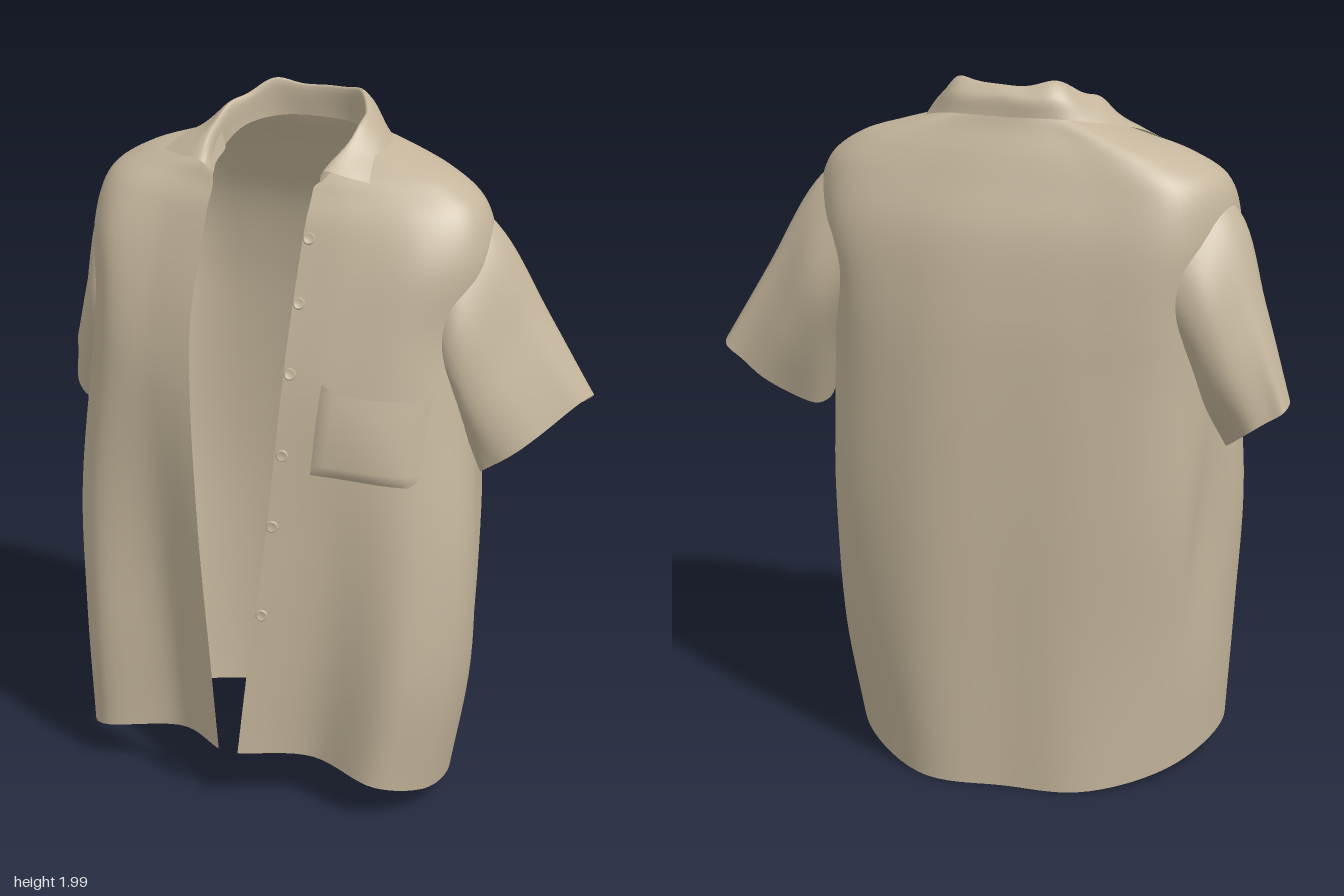
import * as THREE from 'three';

const fabric = new THREE.MeshStandardMaterial({ color: 0xc4b59b, side: THREE.DoubleSide });
fabric.name = 'beige fabric';

const mix = THREE.MathUtils.lerp;
const V = (x, y, z) => new THREE.Vector3(x, y, z);

// Smooth skin through a list of cross-sections (arrays of Vector3)
function loft(name, rings, nu, nv, closed, ripple) {
  const cols = closed ? nu : nu + 1;
  const curves = rings.map(r => new THREE.CatmullRomCurve3(r, closed));
  const pos = [], idx = [];
  for (let i = 0; i < cols; i++) {
    const column = new THREE.CatmullRomCurve3(curves.map(c => c.getPoint(i / nu)));
    for (let j = 0; j <= nv; j++) {
      const p = column.getPoint(j / nv);
      ripple(p, i / nu, j / nv);
      pos.push(p.x, p.y, p.z);
    }
  }
  for (let i = 0; i < nu; i++) {
    for (let j = 0; j < nv; j++) {
      const a = i * (nv + 1) + j, b = ((i + 1) % cols) * (nv + 1) + j;
      idx.push(a, b, a + 1, b, b + 1, a + 1);
    }
  }
  const g = new THREE.BufferGeometry();
  g.setAttribute('position', new THREE.Float32BufferAttribute(pos, 3));
  g.setIndex(idx);
  g.computeVertexNormals();
  const mesh = new THREE.Mesh(g, fabric);
  mesh.name = name;
  return mesh;
}

// Body levels, hem to neckline: yFront, ySide, yBack, xRight, xLeft, xEdgeRight, xEdgeLeft,
// zEdge, zPanel, zCornerRight, zCornerLeft, zSide, zBackCorner, zBack
const LEVELS = [
  [.175, .06, .005, -.595, .495, -.06, .00, .395, .27, .315, .31, .04, -.19, -.385],
  [.45, .42, .40, -.615, .555, -.09, .03, .385, .285, .315, .295, .04, -.22, -.385],
  [.80, .80, .80, -.635, .565, -.135, .07, .36, .29, .285, .255, .03, -.25, -.385],
  [1.2, 1.2, 1.2, -.615, .53, -.18, .095, .315, .282, .245, .21, -.02, -.27, -.375],
  [1.4, 1.4, 1.4, -.61, .52, -.2, .10, .27, .245, .225, .185, -.06, -.28, -.362],
  [1.6, 1.6, 1.6, -.63, .55, -.2, .10, .2, .185, .18, .135, -.09, -.265, -.33],
  [1.7, 1.73, 1.73, -.60, .515, -.2, .10, .16, .14, .12, .09, -.1, -.235, -.28],
  [1.75, 1.80, 1.80, -.50, .43, -.2, .10, .13, .105, .07, .06, -.09, -.21, -.25],
  [1.78, 1.845, 1.86, -.36, .30, -.21, .10, .11, .09, .05, .05, -.08, -.19, -.22],
  [1.79, 1.88, 1.90, -.25, .18, -.215, .11, .1, .075, .04, .04, -.08, -.17, -.205],
];

function bodySection([yF, yS, yB, xR, xL, eR, eL, zE, zP, zCR, zCL, zS, zBC, zB]) {
  const cx = (xR + xL) / 2;
  const half = (w, e, zC) => {
    const at = t => mix(cx, w, t);
    return [
      V(e, yF, zE),
      V(mix(e, at(.8), .45), mix(yF, yS, .25), zP),
      V(at(.8), mix(yF, yS, .5), zC),
      V(at(.98), mix(yF, yS, .85), mix(zS, zC, .55)),
      V(w, yS, zS),
      V(at(.82), mix(yS, yB, .6), zBC),
      V(at(.42), yB, zB * .96),
    ];
  };
  return [...half(xR, eR, zCR), V(cx, yB, zB), ...half(xL, eL, zCL).reverse()];
}

// Soft vertical folds across the back, and a hollow on each flank under the sleeves
function bodyFolds(p, u, v) {
  const back = Math.max(0, 1 - Math.abs(u - .5) / .22);
  p.z -= .012 * Math.sin(p.x * 9.8 + .4) * back * (1 - v);
  const flank = Math.exp(-(((p.z + .1) / .08) ** 2) - ((p.y - .75) / .3) ** 2);
  p.x *= 1 - .065 * flank;
}

// Teardrop sleeve ring from its top point, underarm point and half depth
function sleeveRing([tx, ty, tz, bx, by, bz, d]) {
  const ring = [];
  for (let k = 0; k < 12; k++) {
    const a = k / 12 * Math.PI * 2, c = (1 + Math.cos(a)) / 2;
    const depth = d * Math.sin(a) * (1 - .35 * Math.cos(a));
    ring.push(V(mix(bx, tx, c), mix(by, ty, c), mix(bz, tz, c) + depth));
  }
  return ring;
}
const LEFT_SLEEVE = [
  [.42, 1.775, -.10, .42, 1.30, -.09, .17],
  [.555, 1.66, -.10, .47, 1.22, -.07, .19],
  [.68, 1.43, -.15, .52, 1.10, -.045, .16],
  [.81, 1.20, -.19, .56, .995, -.03, .115],
];
const RIGHT_SLEEVE = [
  [-.49, 1.775, -.09, -.50, 1.30, -.09, .17],
  [-.64, 1.65, -.08, -.54, 1.22, -.07, .195],
  [-.73, 1.41, -.13, -.575, 1.10, -.05, .165],
  [-.815, 1.15, -.17, -.62, .995, -.03, .115],
];
function sleeveFolds(p, u, v) {
  p.z += .007 * Math.sin(u * Math.PI * 10) * v;
  p.y += .006 * Math.sin(u * Math.PI * 6) * v;
}

// Collar: stand at the neckline, fold line, turned-down outer edge
const toRing = pts => pts.map(p => V(...p));
const COLLAR = [
  [[-.215, 1.775, .1], [-.245, 1.81, 0], [-.22, 1.865, -.1], [-.15, 1.885, -.18], [-.035, 1.89, -.2],
    [.09, 1.885, -.18], [.155, 1.865, -.1], [.17, 1.81, 0], [.11, 1.775, .1]],
  [[-.245, 1.81, .112], [-.255, 1.9, 0], [-.225, 1.95, -.1], [-.15, 1.99, -.175], [-.035, 1.975, -.2],
    [.09, 1.99, -.175], [.155, 1.955, -.1], [.165, 1.91, 0], [.125, 1.82, .11]],
  [[-.33, 1.812, .085], [-.3, 1.88, -.02], [-.255, 1.93, -.125], [-.17, 1.955, -.215], [-.035, 1.95, -.23],
    [.105, 1.955, -.215], [.18, 1.93, -.125], [.21, 1.88, -.02], [.19, 1.81, .1]],
  [[-.41, 1.81, .03], [-.36, 1.85, -.05], [-.29, 1.88, -.15], [-.19, 1.9, -.225], [-.035, 1.9, -.235],
    [.12, 1.9, -.225], [.21, 1.875, -.15], [.25, 1.84, -.04], [.26, 1.79, .06]],
].map(toRing);
function collarWave(p, u, v) {
  p.y += .005 * Math.sin(u * 40) * Math.sin(Math.PI * v);
}

export function createModel() {
  const shirt = new THREE.Group();
  shirt.name = 'shirt';

  const body = loft('body', LEVELS.map(bodySection), 96, 64, false, bodyFolds);
  shirt.add(body);
  shirt.add(loft('leftSleeve', LEFT_SLEEVE.map(sleeveRing), 48, 24, true, sleeveFolds));
  shirt.add(loft('rightSleeve', RIGHT_SLEEVE.map(sleeveRing), 48, 24, true, sleeveFolds));
  shirt.add(loft('collar', COLLAR, 64, 18, false, collarWave));

  // Depth of the front panel at a given x and y
  const ray = new THREE.Raycaster();
  const frontZ = (x, y) => {
    ray.set(V(x, y, 2), V(0, 0, -1));
    const hit = ray.intersectObject(body)[0];
    return hit ? hit.point.z : .2;
  };

  // Chest pocket draped on the left panel, raised inside a stitched rim
  const n = 14;
  const pocket = new THREE.Mesh(new THREE.PlaneGeometry(1, 1, n, n), fabric);
  pocket.name = 'chestPocket';
  const pp = pocket.geometry.attributes.position;
  for (let i = 0; i < pp.count; i++) {
    const s = pp.getX(i) + .5, t = pp.getY(i) + .5;
    const x = mix(mix(.185, .46, s), mix(.205, .475, s), t);
    const y = mix(mix(1.03, 1.005, s), mix(1.285, 1.25, s), t) - .015 * Math.sin(Math.PI * s) * t;
    const rim = s < .01 || s > .99 || t < .01;
    const puff = .01 + .01 * Math.sin(Math.PI * s) * Math.sin(Math.PI * (.15 + .75 * t));
    pp.setXYZ(i, x, y, frontZ(x, y) + (rim ? 0 : puff));
  }
  pocket.geometry.computeVertexNormals();
  shirt.add(pocket);

  // Buttons down the left front edge
  const buttons = new THREE.Group();
  buttons.name = 'buttons';
  const profile = [[.017, 0], [.016, .005], [.012, .006], [.009, .003], [0, .003]]
    .map(([r, h]) => new THREE.Vector2(r, h));
  const disc = new THREE.LatheGeometry(profile, 20);
  disc.rotateX(Math.PI / 2);
  for (const [x, y] of [[.118, 1.655], [.118, 1.49], [.117, 1.305], [.11, 1.08], [.09, .875], [.066, .61]]) {
    const b = new THREE.Mesh(disc, fabric);
    b.name = 'button';
    b.position.set(x, y, frontZ(x, y) + .002);
    b.rotation.set(y > 1.2 ? -.35 : -.08, .35, 0);
    buttons.add(b);
  }
  shirt.add(buttons);
  return shirt;
}
